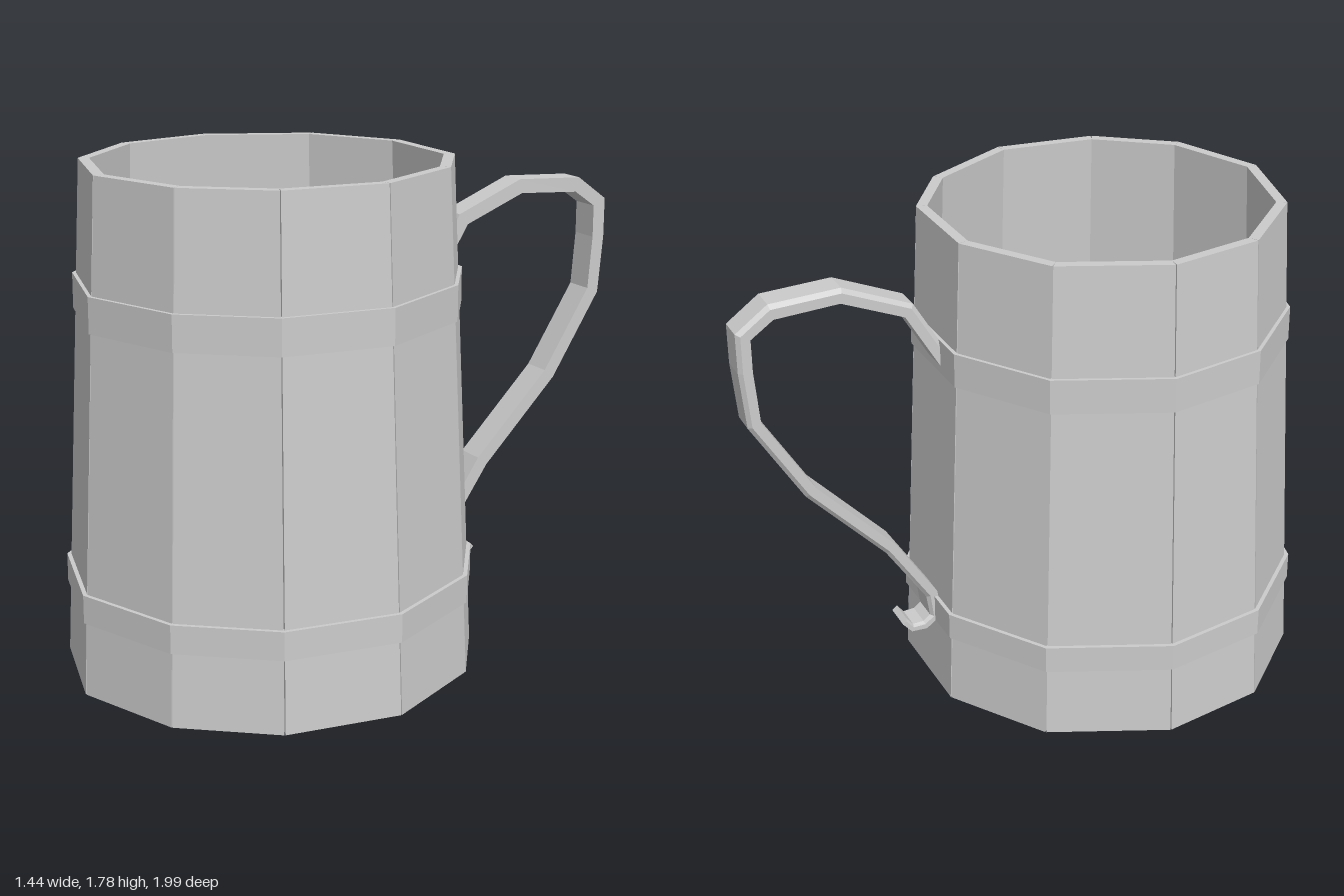
import * as THREE from 'three';

const material = new THREE.MeshStandardMaterial({ color: 0xcccccc, flatShading: true });
const HEIGHT = 1.78;
const CENTRE_Z = 0.285;

// Irregular eleven-sided plan of the barrel at its foot (x, z about the axis)
const PLAN = [
  [0.08, -0.715], [0.475, -0.56], [0.663, -0.285], [0.717, 0.147], [0.525, 0.518], [0.202, 0.715],
  [-0.21, 0.715], [-0.56, 0.465], [-0.72, 0.075], [-0.645, -0.315], [-0.325, -0.635],
].map(([x, z]) => new THREE.Vector2(x, z));

const taper = (y) => 1 - 0.117 * y / HEIGHT;

// One straight wall piece between two neighbouring plan corners.
// outer / inner give the plan scale at a height; gap opens a fine groove outside.
function wallPiece(i, y0, y1, outer, inner, gap) {
  const a = PLAN[i], b = PLAN[(i + 1) % PLAN.length];
  const geometry = new THREE.BoxGeometry(1, 1, 1);
  const p = geometry.attributes.position;
  for (let k = 0; k < p.count; k++) {
    const y = p.getY(k) > 0 ? y1 : y0;
    const outside = p.getZ(k) > 0;
    const g = outside ? gap : 0;
    const corner = a.clone().lerp(b, p.getX(k) > 0 ? g : 1 - g);
    corner.multiplyScalar(outside ? outer(y) : inner(y));
    p.setXYZ(k, corner.x, y, corner.y);
  }
  geometry.computeVertexNormals();
  return new THREE.Mesh(geometry, material);
}

function wallRing(name, ...spec) {
  const ring = new THREE.Group();
  ring.name = name;
  PLAN.forEach((_, i) => {
    const piece = wallPiece(i, ...spec);
    piece.name = name + 'Piece' + (i + 1);
    ring.add(piece);
  });
  return ring;
}

// Strap with one bevelled edge swept along a path in the local xy plane: [radius, y, half thickness]
function strapGeometry(path, halfWidth) {
  const section = [[-1, -1], [1, -1], [1, 1], [-0.75, 1], [-1, 0.4]];
  const n = section.length;
  const positions = [], index = [];
  path.forEach(([x, y, t], i) => {
    const p = path[Math.max(i - 1, 0)], q = path[Math.min(i + 1, path.length - 1)];
    const d = new THREE.Vector2(q[0] - p[0], q[1] - p[1]).normalize();
    // Outward side of the strap lies to the left of the path direction
    section.forEach(([w, h]) => positions.push(x - d.y * h * t, y + d.x * h * t, w * halfWidth));
    if (i === 0) return;
    for (let k = 0; k < n; k++) {
      const a = (i - 1) * n + k, b = (i - 1) * n + (k + 1) % n;
      index.push(a, a + n, b, b, a + n, b + n);
    }
  });
  // End caps
  const last = (path.length - 1) * n;
  for (let k = 1; k < n - 1; k++) {
    index.push(0, k, k + 1, last, last + k + 1, last + k);
  }
  const geometry = new THREE.BufferGeometry();
  geometry.setAttribute('position', new THREE.Float32BufferAttribute(positions, 3));
  geometry.setIndex(index);
  const flat = geometry.toNonIndexed();
  flat.computeVertexNormals();
  return flat;
}

export function createModel() {
  const model = new THREE.Group();
  model.name = 'tankard';

  const body = new THREE.Group();
  body.name = 'body';
  body.position.z = CENTRE_Z;
  model.add(body);

  // Tapered staves
  body.add(wallRing('stave', 0, HEIGHT, taper, (y) => 0.94 * taper(y), 0.005));

  // Two hoops around the staves
  [['lowerHoop', 0.26, 0.36, 0.997], ['upperHoop', 1.26, 1.385, 0.927]].forEach(([name, y0, y1, s]) => {
    body.add(wallRing(name, y0, y1, () => s, () => s - 0.04, 0));
  });

  // Base plate, recessed above the foot
  const plate = new THREE.ExtrudeGeometry(
    new THREE.Shape(PLAN.map((v) => v.clone().multiplyScalar(0.945))), { depth: 0.04, bevelEnabled: false });
  plate.rotateX(Math.PI / 2).translate(0, 0.1, 0);
  const base = new THREE.Mesh(plate, material);
  base.name = 'basePlate';
  body.add(base);

  // Handle with a small curl at its foot, square to one back stave
  const path = [
    [0.61, 1.28, 0.025], [0.75, 1.515, 0.026], [0.99, 1.615, 0.026], [1.235, 1.602, 0.027],
    [1.335, 1.53, 0.027], [1.335, 1.4, 0.024], [1.318, 1.2, 0.024], [1.135, 0.9, 0.024],
    [0.85, 0.6, 0.024], [0.7, 0.37, 0.022], [0.69, 0.275, 0.018], [0.73, 0.245, 0.014],
    [0.78, 0.245, 0.012], [0.81, 0.28, 0.012],
  ];
  const handle = new THREE.Mesh(strapGeometry(path, 0.055), material);
  handle.name = 'handle';
  handle.rotation.y = Math.atan2(0.928, 0.371);
  body.add(handle);

  return model;
}
